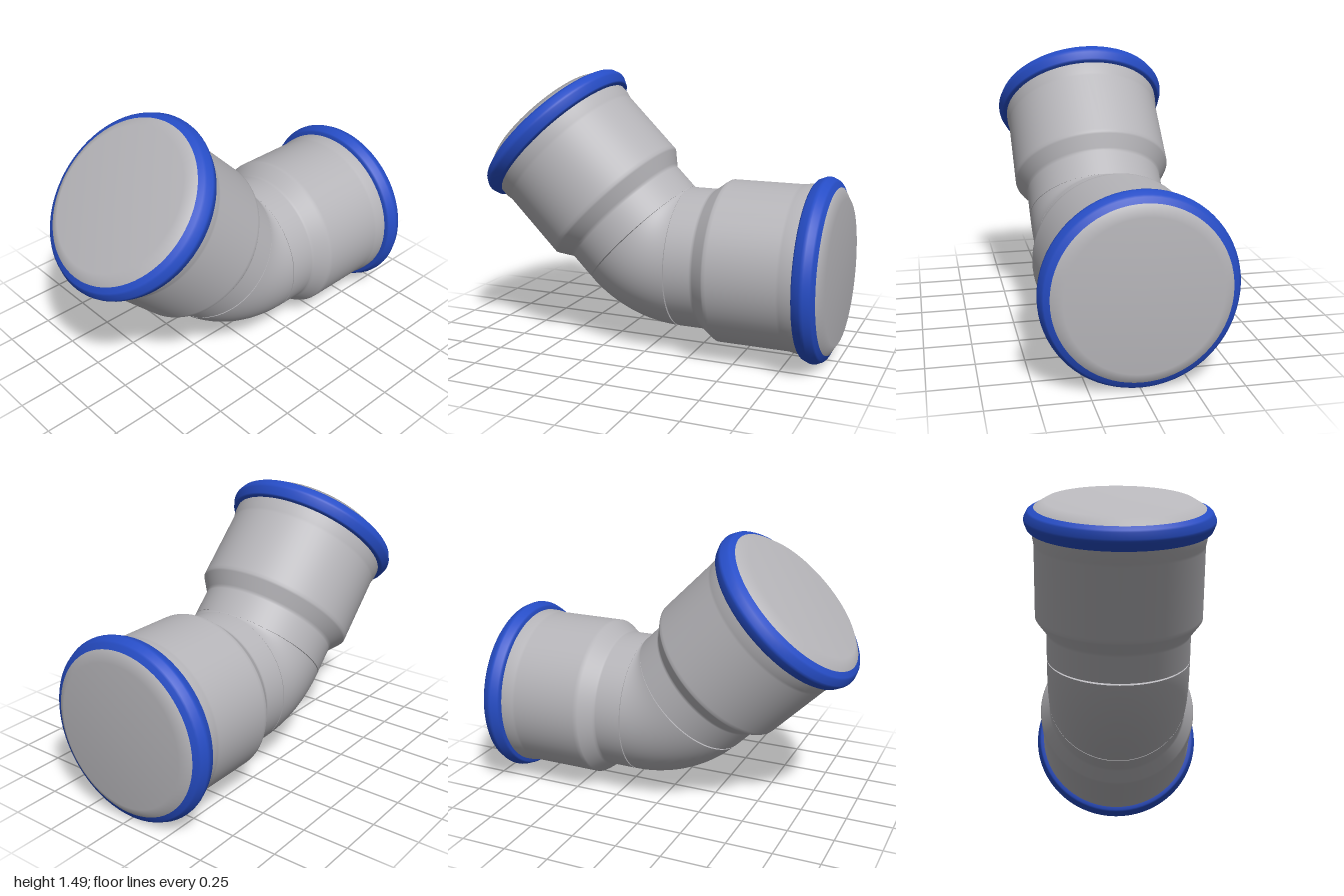
import * as THREE from 'three';

const grey = new THREE.MeshStandardMaterial({ color: 0xb6b5b9 });
grey.name = 'pipe grey';
const blue = new THREE.MeshStandardMaterial({ color: 0x264dc6 });
blue.name = 'ring blue';

const SIDES = 72;
const AXIS = 0.487; // height of the horizontal pipe's axis
const BEND = 0.385; // bend radius of the elbow
const PIPE = 0.38; // radius of the narrow pipe
const CENTRE = new THREE.Vector3(0.16, AXIS + BEND, 0);

// Turned part along +x from [distance, radius] pairs
function turned(name, profile, material) {
  const points = profile.map(([d, r]) => new THREE.Vector2(r, d));
  const geometry = new THREE.LatheGeometry(points, SIDES).rotateZ(-Math.PI / 2);
  const mesh = new THREE.Mesh(geometry, material);
  mesh.name = name;
  return mesh;
}

// Straight arm: narrow neck, flared socket, sealing ring and closed end
function makeArm(name) {
  const arm = new THREE.Group();
  arm.name = name;
  arm.add(
    turned('neckEnd', [[0, 0], [0, PIPE]], grey),
    turned('socket', [
      [0, PIPE], [0.14, PIPE], [0.15, PIPE], [0.16, 0.387], [0.222, 0.432],
      [0.232, 0.438], [0.25, 0.438], [0.61, 0.438], [0.625, 0.439], [0.655, 0.445], [0.695, 0.446],
    ], grey),
    turned('sealingRing', [
      [0.69, 0.435], [0.692, 0.463], [0.7, 0.472], [0.735, 0.486], [0.745, 0.487],
      [0.755, 0.486], [0.785, 0.472], [0.793, 0.463], [0.806, 0.436],
    ], blue),
    turned('endCap', [[0.806, 0.436], [0.84, PIPE], [0.84, 0]], grey),
  );
  return arm;
}

// Curved middle, stopping just short of both arms to leave a fine joint
function makeElbow() {
  const elbow = new THREE.Group();
  elbow.name = 'elbow';
  const gap = THREE.MathUtils.degToRad(0.7);
  const start = Math.PI * 1.25 + gap;
  const end = Math.PI * 1.5 - gap;
  const bend = new THREE.Mesh(new THREE.TorusGeometry(BEND, PIPE, SIDES, 24, end - start), grey);
  bend.name = 'bend';
  bend.rotation.z = start;
  elbow.add(bend);
  // Flat faces at the joints
  for (const [angle, facing] of [[start, -1], [end, 1]]) {
    const disc = new THREE.CircleGeometry(PIPE, SIDES)
      .rotateY(facing * Math.PI / 2).rotateZ(angle + Math.PI / 2);
    const face = new THREE.Mesh(disc, grey);
    face.name = 'jointFace';
    face.position.set(BEND * Math.cos(angle), BEND * Math.sin(angle), 0);
    elbow.add(face);
  }
  elbow.position.copy(CENTRE);
  return elbow;
}

export function createModel() {
  const model = new THREE.Group();
  model.name = 'pipeElbow';

  const levelArm = makeArm('levelArm');
  levelArm.position.set(CENTRE.x, AXIS, 0);

  const raisedArm = makeArm('raisedArm');
  const offset = BEND * Math.SQRT1_2;
  raisedArm.position.set(CENTRE.x - offset, CENTRE.y - offset, 0);
  raisedArm.rotation.z = Math.PI * 0.75;

  model.add(levelArm, makeElbow(), raisedArm);
  return model;
}
